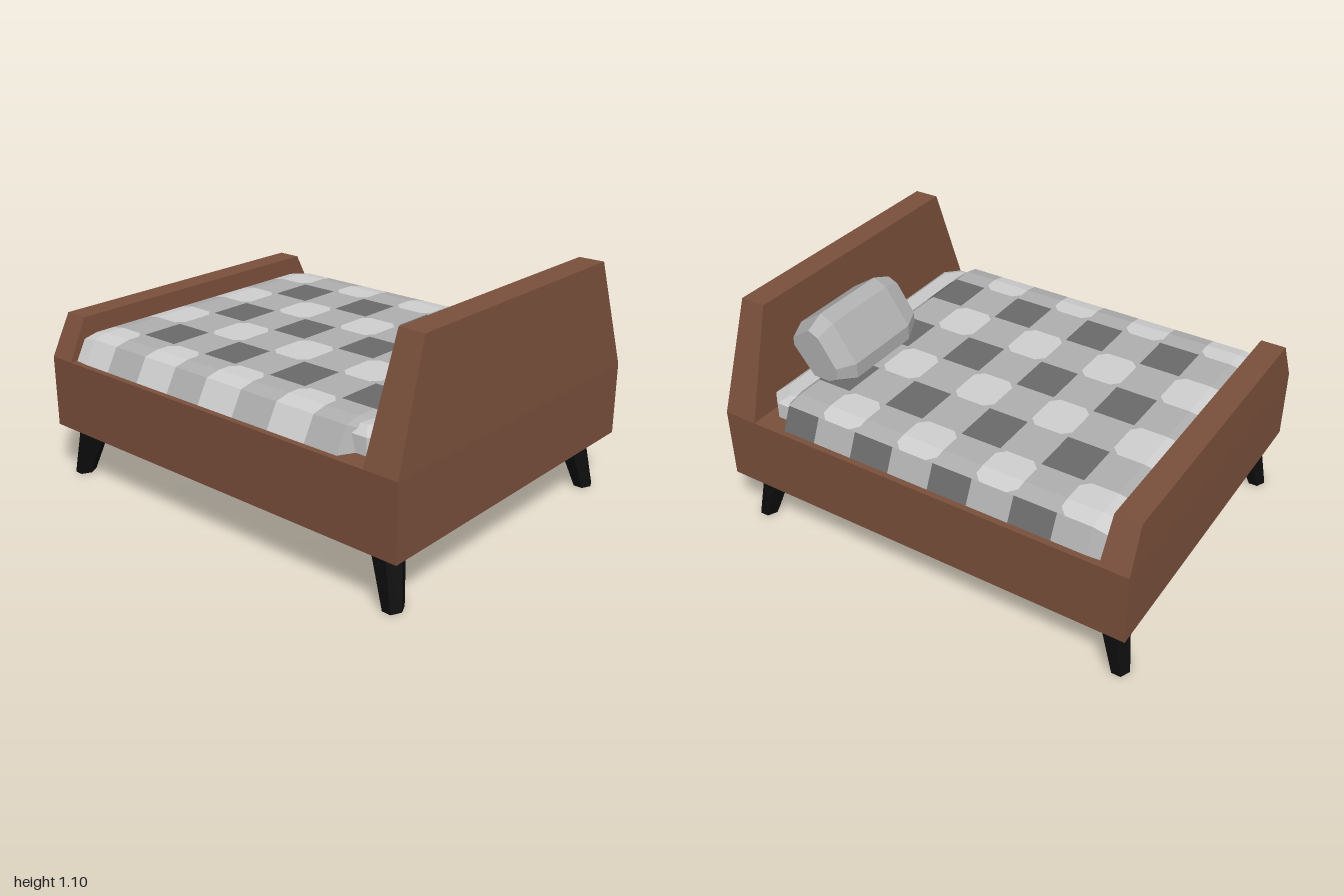
import * as THREE from 'three';

const mat = (name, color, side = THREE.FrontSide) => {
  const m = new THREE.MeshStandardMaterial({ color, side });
  m.name = name;
  return m;
};

// Flat-shaded geometry from a plain list of triangle corners
function facets(corners) {
  const g = new THREE.BufferGeometry().setFromPoints(corners);
  g.computeVertexNormals();
  return g;
}

// Closed convex solid through rings of equal point count, facing outward
function loft(rings) {
  const tris = [];
  const n = rings[0].length;
  for (let r = 0; r < rings.length - 1; r++) {
    for (let i = 0; i < n; i++) {
      const j = (i + 1) % n;
      const a = rings[r], b = rings[r + 1];
      tris.push([a[i], a[j], b[j]], [a[i], b[j], b[i]]);
    }
  }
  const first = rings[0], last = rings[rings.length - 1];
  for (let i = 1; i < n - 1; i++) {
    tris.push([first[0], first[i + 1], first[i]], [last[0], last[i], last[i + 1]]);
  }
  let volume = 0;
  const cross = new THREE.Vector3();
  for (const [a, b, c] of tris) volume += a.dot(cross.crossVectors(b, c));
  if (volume < 0) tris.forEach((t) => t.reverse());
  return facets(tris.flat());
}

const V = (x, y, z) => new THREE.Vector3(x, y, z);

// Horizontal rectangle with optional cut corners
function rectRing(y, x0, x1, z, cut = 0) {
  if (!cut) return [V(x0, y, -z), V(x1, y, -z), V(x1, y, z), V(x0, y, z)];
  return [
    V(x0 + cut, y, -z), V(x1 - cut, y, -z), V(x1, y, -z + cut), V(x1, y, z - cut),
    V(x1 - cut, y, z), V(x0 + cut, y, z), V(x0, y, z - cut), V(x0, y, -z + cut),
  ];
}

// Horizontal six-sided ring
function hexRing(y, x, z, rx, rz) {
  return Array.from({ length: 6 }, (_, i) => {
    const a = (i * Math.PI) / 3;
    return V(x + rx * Math.cos(a), y, z + rz * Math.sin(a));
  });
}

// Checked blanket: a draped grid, its cells sorted into three colours
function makeBlanket(materials) {
  const xs = [-0.87, -0.8, -0.645, -0.45, -0.255, -0.065, 0.135, 0.33, 0.525, 0.69, 0.73];
  const zs = [-0.78, -0.73, -0.65, -0.52, -0.305, -0.09, 0.125, 0.345, 0.555, 0.65, 0.72, 0.78];
  const ys = zs.map((z) => (Math.abs(z) > 0.75 ? 0.585 : Math.abs(z) > 0.7 ? 0.695 : 0.71));
  const colStripe = (i) => [2, 4, 6, 8, 9].includes(i);
  const rowStripe = (j) => [0, 3, 5, 7].includes(j);
  const tone = (i, j) => Number(colStripe(i)) + Number(rowStripe(j));
  const point = (i, j) => {
    // the head end tucks in, the foot end dips
    if (i === 10) return V(xs[i], ys[j] - 0.025, zs[j] * 0.92);
    return V(xs[i], ys[j] - (i === 0 ? 0.012 : 0), zs[j]);
  };
  const lists = [[], [], []];
  const towards = (a, b) => a.clone().lerp(b, Math.min(0.45, 0.035 / a.distanceTo(b)));

  for (let i = 0; i < xs.length - 1; i++) {
    for (let j = 0; j < zs.length - 1; j++) {
      const t = tone(i, j);
      const p = [point(i, j), point(i, j + 1), point(i + 1, j + 1), point(i + 1, j)];
      const diagonal = [[-1, -1], [-1, 1], [1, 1], [1, -1]];
      const poly = [];
      p.forEach((c, k) => {
        const [di, dj] = diagonal[k];
        // light squares have clipped corners beside dark ones
        if (t === 0 && j > 0 && j < 10 && tone(i + di, j + dj) === 2) {
          const a = towards(c, p[(k + 3) % 4]);
          const b = towards(c, p[(k + 1) % 4]);
          poly.push(a, b);
          lists[1].push(a, c, b);
        } else poly.push(c);
      });
      for (let k = 1; k < poly.length - 1; k++) lists[t].push(poly[0], poly[k], poly[k + 1]);
    }
  }
  const geometry = facets(lists.flat());
  let start = 0;
  lists.forEach((l, k) => {
    geometry.addGroup(start, l.length, k);
    start += l.length;
  });
  return new THREE.Mesh(geometry, materials);
}

export function createModel() {
  const bed = new THREE.Group();
  bed.name = 'bed';
  const wood = mat('brownWood', 0x7b503c);
  const black = mat('blackLeg', 0x0d0d0d);
  const linen = mat('mattressGrey', 0xcacaca);
  const pillowGrey = mat('pillowGrey', 0xb0b0b0);
  const checks = [
    mat('lightCheck', 0xd0d0d0, THREE.DoubleSide),
    mat('midCheck', 0xb0b0b0, THREE.DoubleSide),
    mat('darkCheck', 0x6b6b6b, THREE.DoubleSide),
  ];
  const add = (name, geometry, material) => {
    const mesh = new THREE.Mesh(geometry, material);
    mesh.name = name;
    bed.add(mesh);
  };

  // Frame and tapered end boards
  add('frame', loft([rectRing(0.255, -1, 1, 0.805), rectRing(0.59, -1, 1, 0.805)]), wood);
  add('headboard', loft([rectRing(0.59, 0.838, 1, 0.805), rectRing(1.095, 0.857, 0.976, 0.635)]), wood);
  add('footboard', loft([rectRing(0.59, -1, -0.87, 0.805), rectRing(0.782, -0.993, -0.876, 0.71)]), wood);

  // Splayed legs
  for (const sx of [-1, 1]) {
    for (const sz of [-1, 1]) {
      const topX = sx < 0 ? -0.887 : 0.855;
      const footX = sx < 0 ? -0.95 : 0.92;
      const name = (sz > 0 ? 'front' : 'back') + (sx > 0 ? 'Left' : 'Right') + 'Leg';
      add(name, loft([
        hexRing(0, footX, sz * 0.713, 0.042, 0.05),
        hexRing(0.26, topX, sz * 0.672, 0.072, 0.078),
      ]), black);
    }
  }

  // Mattress with cut corners
  add('mattress', loft([
    rectRing(0.57, -0.865, 0.838, 0.71, 0.06),
    rectRing(0.665, -0.865, 0.838, 0.71, 0.06),
    rectRing(0.692, -0.84, 0.80, 0.66, 0.06),
  ]), linen);

  const blanket = makeBlanket(checks);
  blanket.name = 'blanket';
  bed.add(blanket);

  // Faceted pillow leaning on the headboard
  const outline = [
    [0.54, 0.8], [0.655, 0.97], [0.72, 1.0], [0.84, 0.92],
    [0.843, 0.87], [0.71, 0.7], [0.6, 0.7], [0.54, 0.73],
  ];
  const slice = (z, s) => outline.map(([x, y]) => V(0.69 + (x - 0.69) * s, 0.85 + (y - 0.85) * s, z));
  add('pillow', loft([slice(-0.535, 0.76), slice(-0.44, 1), slice(-0.06, 1), slice(0.035, 0.76)]), pillowGrey);

  return bed;
}
